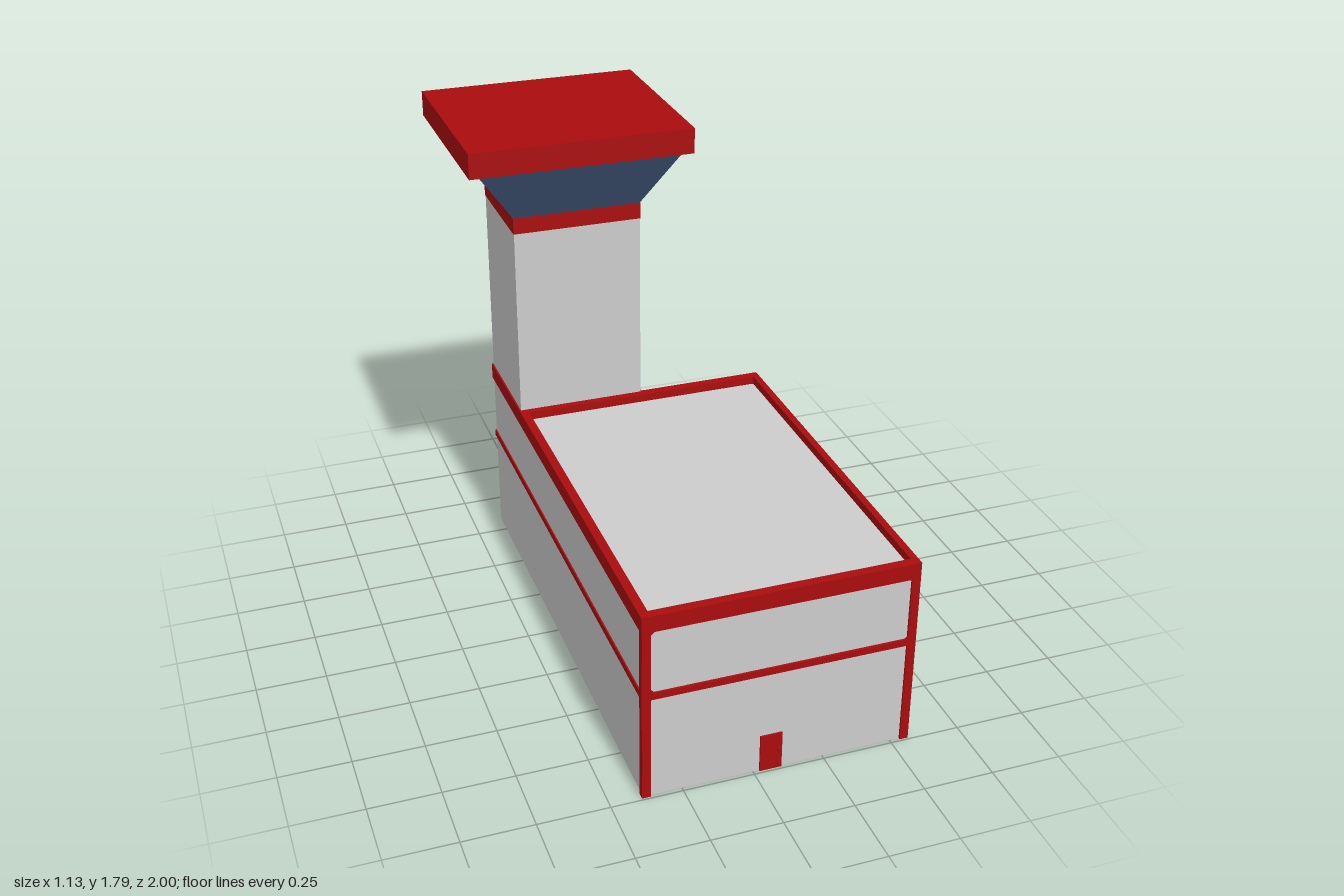
import * as THREE from 'three';

const material = (name, color) => {
  const m = new THREE.MeshStandardMaterial({ color });
  m.name = name;
  return m;
};

export function createModel() {
  const model = new THREE.Group();
  model.name = 'fireStation';
  const wall = material('light grey wall', 0xcccccc);
  const red = material('red trim', 0xaa0d0e);
  const glass = material('blue glass', 0x42597a);
  const shutter = material('grey shutter', 0xb2b2b2);

  const add = (name, geometry, mat) => {
    const mesh = new THREE.Mesh(geometry, mat);
    mesh.name = name;
    model.add(mesh);
    return mesh;
  };
  // Box given by its lower and upper limits
  const box = (name, mat, x0, x1, y0, y1, z0, z1) => {
    const g = new THREE.BoxGeometry(x1 - x0, y1 - y0, z1 - z0);
    g.translate((x0 + x1) / 2, (y0 + y1) / 2, (z0 + z1) / 2);
    return add(name, g, mat);
  };
  const path = (points) => points.map(([x, y]) => new THREE.Vector2(x, y));

  // L-shaped plan of hall and tower, grown by e, raised from y0 to y1
  const planSlab = (name, mat, e, right, y0, y1, hole) => {
    const shape = new THREE.Shape(path([
      [-0.385 - e, -0.985 - e], [right, -0.985 - e], [right, 0.432 + e],
      [0.087 + e, 0.432 + e], [0.087 + e, 0.84 + e], [-0.385 - e, 0.84 + e],
    ]));
    if (hole) shape.holes.push(new THREE.Path(path(hole)));
    const g = new THREE.ExtrudeGeometry(shape, { depth: y1 - y0, bevelEnabled: false });
    g.rotateX(-Math.PI / 2).translate(0, y0, 0);
    return add(name, g, mat);
  };

  // Hall walls, belt and parapet around the sunken roof
  planSlab('hallWalls', wall, 0, 0.545, 0, 0.68);
  planSlab('beltBand', red, 0.005, 0.56, 0.39, 0.415);
  planSlab('parapet', red, 0.006, 0.565, 0.65, 0.71,
    [[-0.36, -0.96], [-0.36, 0.405], [0.54, 0.405], [0.54, -0.96]]);

  // Front frame with clipped corners in the upper panel
  const frame = new THREE.Shape(path([
    [-0.39, 0], [-0.36, 0], [-0.36, 0.39], [0.54, 0.39], [0.54, 0],
    [0.565, 0], [0.565, 0.71], [-0.39, 0.71],
  ]));
  const c = 0.012, [l, r, b, t] = [-0.36, 0.54, 0.415, 0.65];
  frame.holes.push(new THREE.Path(path([
    [l + c, b], [l, b + c], [l, t - c], [l + c, t],
    [r - c, t], [r, t - c], [r, b + c], [r - c, b],
  ])));
  add('frontFrame', new THREE.ExtrudeGeometry(frame, { depth: 0.013, bevelEnabled: false })
    .translate(0, 0, 0.98), red);
  box('frontCornerPost', red, -0.391, -0.362, 0, 0.7, 0.968, 0.992);

  // Side columns: [z0, z1, height, outer x]
  [[0.96, 0.992, 0.7, 0.565], [0.625, 0.655, 0.66, 0.56], [0.26, 0.31, 0.66, 0.565],
    [-0.085, -0.06, 0.4, 0.56], [-0.437, -0.402, 0.7, 0.565]].forEach(([z0, z1, h, x1]) => {
    box('sideColumn', red, 0.535, x1, 0, h, z0, z1);
  });
  box('doorLintel', red, 0.54, 0.558, 0.3, 0.316, -0.42, 0.97);

  // Four bays with shutter, lamp and window
  [[0.655, 0.96, 0.66, 0.955], [0.31, 0.625, 0.315, 0.615],
    [-0.06, 0.26, -0.05, 0.25], [-0.402, -0.085, -0.392, -0.095]].forEach(([z0, z1, w0, w1]) => {
    box('bayShutter', shutter, 0.542, 0.548, 0, 0.3, z0, z1);
    box('bayWindow', glass, 0.542, 0.549, 0.48, 0.65, w0, w1);
    const lamp = add('bayLamp', new THREE.SphereGeometry(0.03, 12, 8), glass);
    lamp.scale.set(0.25, 0.4, 1);
    lamp.position.set(0.55, 0.299, (z0 + z1) / 2);
  });

  // Small doors with handles
  box('frontDoor', red, 0.022, 0.1, 0, 0.142, 0.983, 0.991);
  box('frontDoorHandle', red, 0.083, 0.092, 0.073, 0.083, 0.99, 1);
  box('backDoor', red, -0.225, -0.147, 0, 0.142, -0.846, -0.838);
  box('backDoorHandle', red, -0.217, -0.208, 0.073, 0.083, -0.852, -0.845);

  // Tower shaft, neck band and overhanging roof
  box('towerShaft', wall, -0.385, 0.087, 0.67, 1.42, -0.84, -0.432);
  box('towerNeck', red, -0.387, 0.089, 1.42, 1.48, -0.842, -0.43);
  box('towerRoof', red, -0.57, 0.242, 1.7, 1.793, -1, -0.285);

  // Lookout cab: a box whose top ring is spread outward
  const cab = new THREE.BoxGeometry(1, 1, 1);
  const p = cab.attributes.position;
  for (let i = 0; i < p.count; i++) {
    const up = p.getY(i) > 0;
    const [x0, x1, z0, z1] = up ? [-0.536, 0.21, -0.96, -0.31] : [-0.385, 0.087, -0.84, -0.432];
    p.setXYZ(i, p.getX(i) < 0 ? x0 : x1, up ? 1.7 : 1.48, p.getZ(i) < 0 ? z0 : z1);
  }
  cab.computeVertexNormals();
  add('lookoutGlass', cab, glass);

  return model;
}
